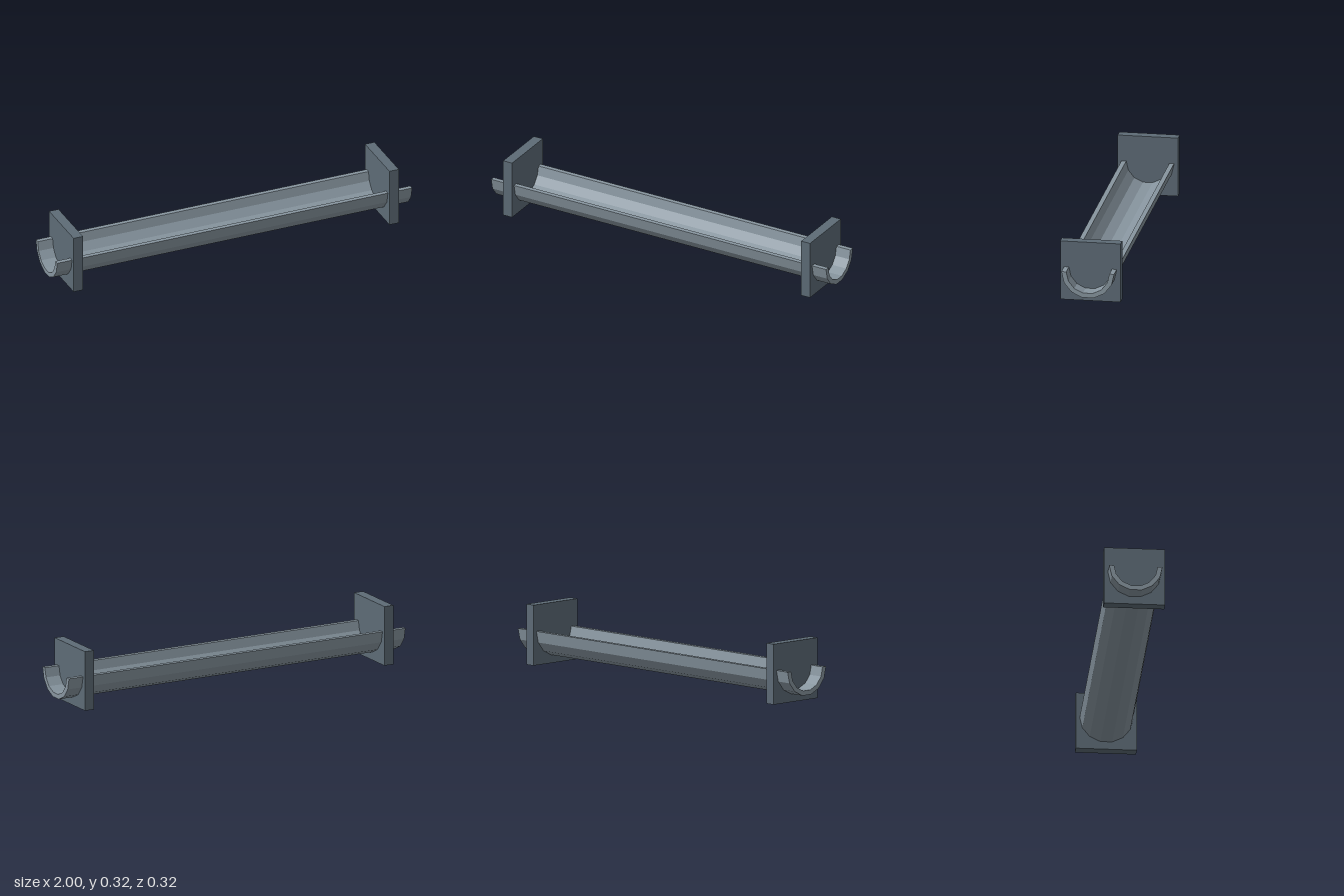
import * as THREE from 'three';

export function createModel() {
  const group = new THREE.Group();
  const troughMat = new THREE.MeshStandardMaterial({ name: 'light slate', color: 0x87959f, flatShading: true });
  const plateMat = new THREE.MeshStandardMaterial({ name: 'dark slate', color: 0x5d6b76, flatShading: true });

  // Half-pipe section: outer arc one way, inner arc back
  const segments = 7, outer = 0.138, inner = 0.113, rimY = 0.177, length = 2;
  const arc = (r) => Array.from({ length: segments + 1 }, (_, i) => {
    const a = Math.PI + (i / segments) * Math.PI;
    return new THREE.Vector2(r * Math.cos(a), rimY + r * Math.sin(a));
  });
  const section = new THREE.Shape([...arc(outer), ...arc(inner).reverse()]);

  // Trough running along x
  const troughGeo = new THREE.ExtrudeGeometry(section, { depth: length, bevelEnabled: false, steps: 1 });
  troughGeo.translate(0, 0, -length / 2).rotateY(Math.PI / 2);
  const trough = new THREE.Mesh(troughGeo, troughMat);
  trough.name = 'trough';
  group.add(trough);

  // Square support plates near both ends
  const size = 0.316;
  const plateGeo = new THREE.BoxGeometry(0.053, size, size);
  for (const [name, side] of [['leftPlate', 1], ['rightPlate', -1]]) {
    const plate = new THREE.Mesh(plateGeo, plateMat);
    plate.name = name;
    plate.position.set(side * 0.89, size / 2, 0);
    group.add(plate);
  }
  return group;
}
